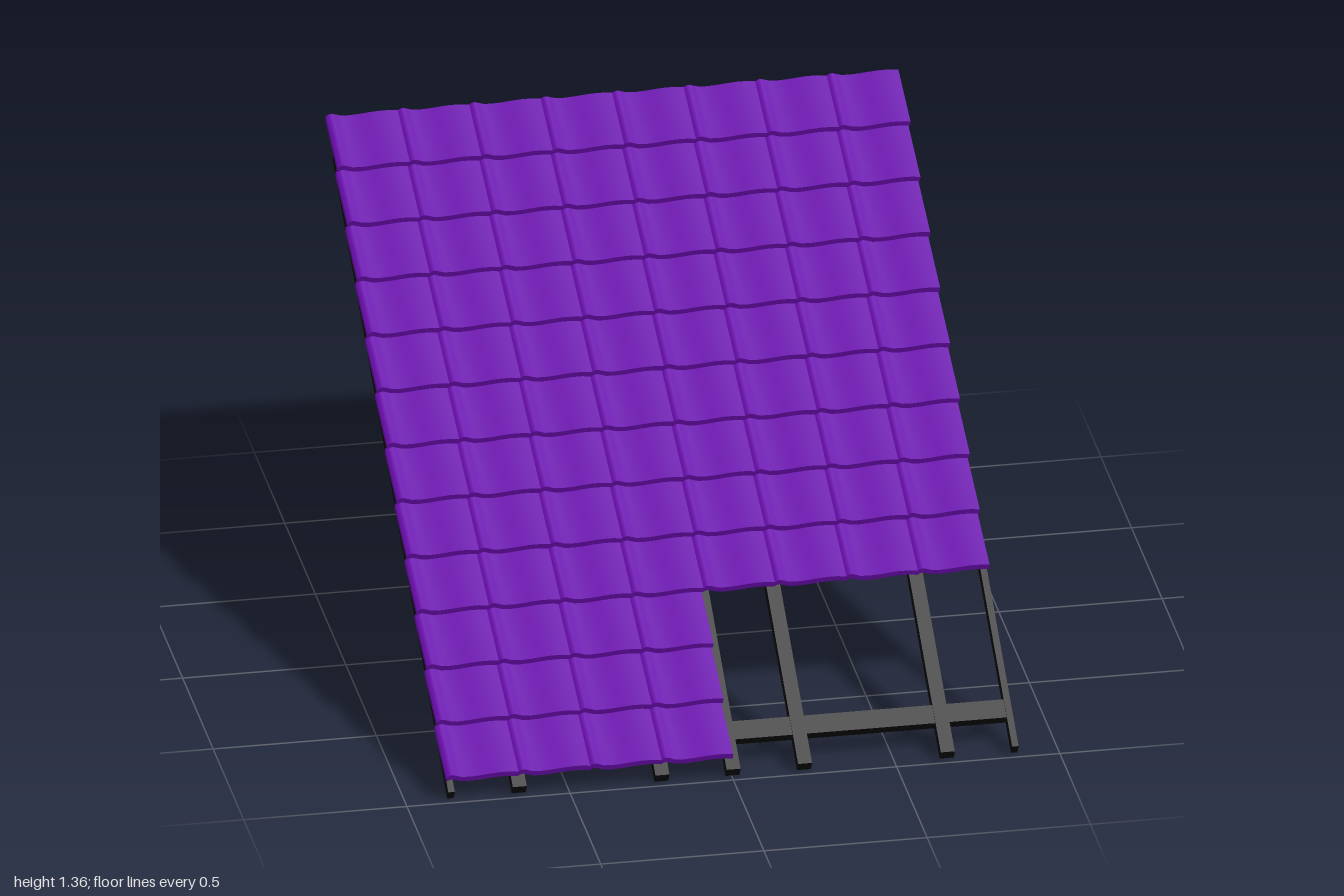
import * as THREE from 'three';
import { toCreasedNormals } from 'three/addons/utils/BufferGeometryUtils.js';

const ROWS = 12, COLS = 8;
const PITCH_X = 0.219, RISE = 0.1085, RUN = 0.162;
const TILE_LENGTH = 0.213, TILE_TILT = 0.384;

// Wavy pantile: small roll at one side, shallow pan, gentle crown
function tileGeometry() {
  const top = [[0, 0.024], [0.008, 0.031], [0.018, 0.033], [0.028, 0.029], [0.045, 0.022],
    [0.07, 0.02], [0.1, 0.022], [0.13, 0.026], [0.16, 0.029], [0.19, 0.029], [0.221, 0.025]];
  const thickness = 0.019;
  const under = top.map(([x, y]) => [x, y - thickness]).reverse();
  const shape = new THREE.Shape([...top, ...under].map(([x, y]) => new THREE.Vector2(x, y)));
  const g = new THREE.ExtrudeGeometry(shape, { depth: TILE_LENGTH, bevelEnabled: false });
  g.translate(0, 0, -TILE_LENGTH);
  return toCreasedNormals(g, 0.75);
}

export function createModel() {
  const root = new THREE.Group();
  root.name = 'roofSection';
  const tileMat = new THREE.MeshStandardMaterial({ color: 0x6a0dad });
  const woodMat = new THREE.MeshStandardMaterial({ color: 0x0a0a0a });

  // Overlapping tiles, leaving the lower corner on the +x side open
  const tiles = new THREE.Group();
  tiles.name = 'tiles';
  const tileGeo = tileGeometry();
  for (let r = 0; r < ROWS; r++) {
    const row = new THREE.Group();
    row.name = 'tileRow';
    row.position.set(0, 0.061 + r * RISE, 0.984 - r * RUN);
    row.rotation.x = TILE_TILT;
    const count = r < 3 ? COLS / 2 : COLS;
    for (let c = 0; c < count; c++) {
      const tile = new THREE.Mesh(tileGeo, tileMat);
      tile.name = 'tile';
      tile.position.x = -0.877 + c * PITCH_X;
      row.add(tile);
    }
    tiles.add(row);
  }
  root.add(tiles);

  // Sloping frame, laid flat in its own group and then tilted
  const frame = new THREE.Group();
  frame.name = 'frame';
  const length = 2.252, depth = 0.036;
  const slope = Math.atan2(1.248, 1.875);
  frame.position.set(0, 0.016, 0.978);
  frame.rotation.x = slope;

  // Rafters as [x, width]; the two outermost are thinner
  const rafters = [[-0.861, 0.02], [-0.652, 0.043], [-0.215, 0.043], [0.003, 0.043],
    [0.222, 0.043], [0.659, 0.043], [0.866, 0.02]];
  for (const [x, w] of rafters) {
    const rafter = new THREE.Mesh(new THREE.BoxGeometry(w, depth, length), woodMat);
    rafter.name = 'rafter';
    rafter.position.set(x, 0, -length / 2);
    frame.add(rafter);
  }

  // Cross batten near the eaves
  const batten = new THREE.Mesh(new THREE.BoxGeometry(1.737, 0.03, 0.064), woodMat);
  batten.name = 'batten';
  batten.position.set(0.0025, 0, -0.137);
  frame.add(batten);
  root.add(frame);

  return root;
}
